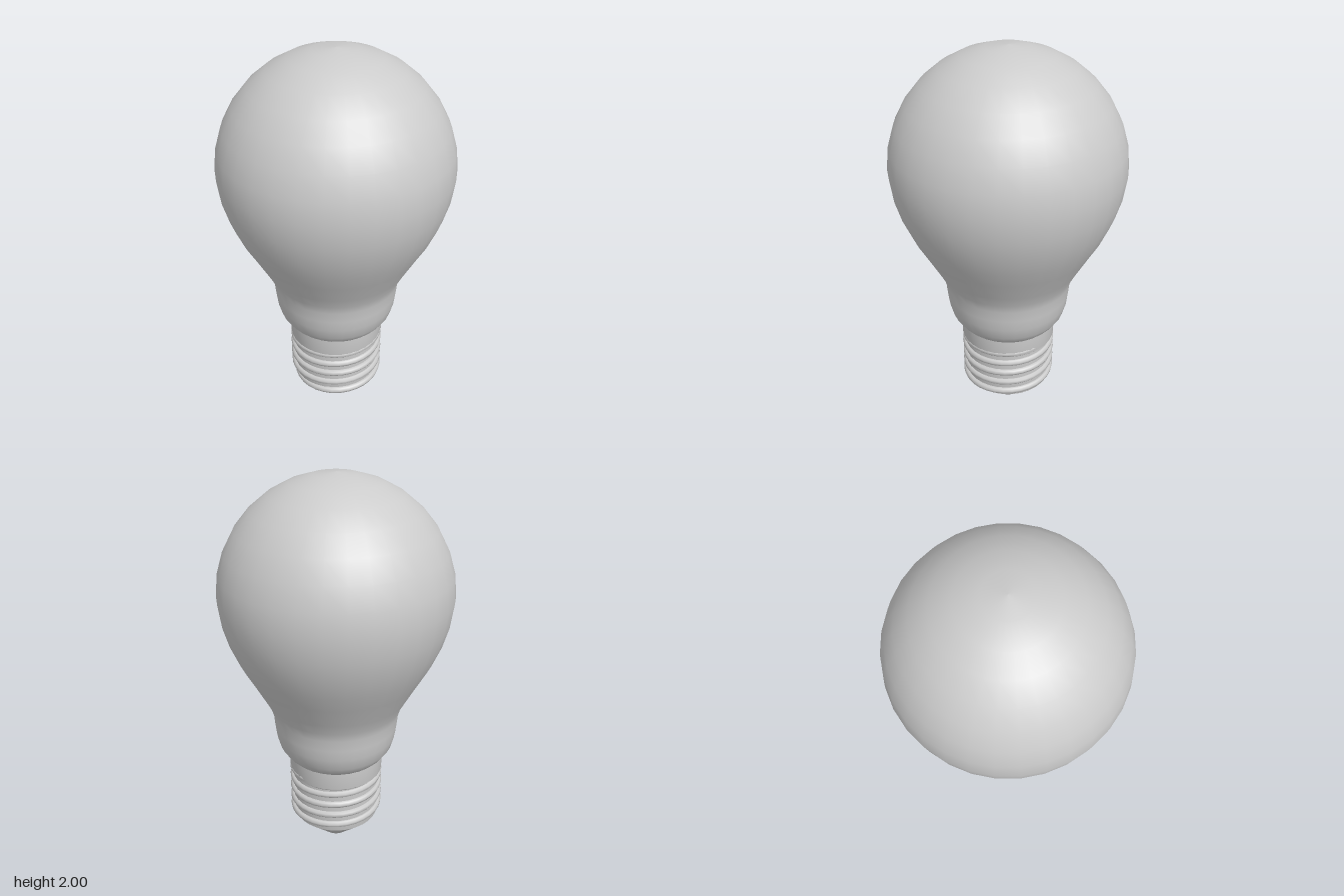
import * as THREE from 'three';

const SIDES = 32;
const material = new THREE.MeshStandardMaterial({ color: 0xcccccc, side: THREE.DoubleSide });

function addMesh(group, name, geometry) {
  const mesh = new THREE.Mesh(geometry, material);
  mesh.name = name;
  group.add(mesh);
}

// Revolve a profile of [radius, height] pairs, listed from bottom to top
function lathe(points) {
  return new THREE.LatheGeometry(points.map(([r, y]) => new THREE.Vector2(r, y)), SIDES);
}

// Screw thread: rises anticlockwise seen from above, both ends sink into the base
class ThreadCurve extends THREE.Curve {
  getPoint(t, target = new THREE.Vector3()) {
    const turn = THREE.MathUtils.lerp(-3.42, 1.55, t);
    const angle = turn * Math.PI * 2;
    const sink = Math.min(1, Math.min(t, 1 - t) / 0.06);
    const r = 0.205 + 0.026 * sink;
    return target.set(r * Math.sin(angle), 0.38 + 0.064 * (turn - 0.25), r * Math.cos(angle));
  }
}

export function createModel() {
  const group = new THREE.Group();
  group.name = 'lightBulb';

  // Glass: waisted neck that runs into a spherical crown
  const glass = [
    [0.235, 0.522], [0.25, 0.525], [0.268, 0.543], [0.297, 0.585], [0.315, 0.65],
    [0.322, 0.71], [0.327, 0.77], [0.342, 0.82], [0.375, 0.885], [0.437, 1.0],
    [0.487, 1.09], [0.532, 1.195], [0.562, 1.3],
  ];
  for (let i = 0; i <= 8; i++) {
    const a = (i / 8) * Math.PI / 2;
    glass.push([i === 8 ? 0 : 0.578 * Math.cos(a), 1.42 + 0.58 * Math.sin(a)]);
  }
  addMesh(group, 'glassBulb', lathe(glass));

  // Metal cap: thread core, and a smooth collar below the glass
  addMesh(group, 'capCore', lathe([[0.212, 0.135], [0.228, 0.15], [0.233, 0.25], [0.233, 0.43]]));
  addMesh(group, 'capCollar', lathe([[0.233, 0.415], [0.247, 0.43], [0.247, 0.527]]));
  addMesh(group, 'screwThread', new THREE.TubeGeometry(new ThreadCurve(), SIDES * 5, 0.019, 8));

  // Tapered contact at the foot
  addMesh(group, 'footContact', lathe([[0, 0], [0.068, 0], [0.14, 0.068], [0.214, 0.137]]));

  return group;
}
